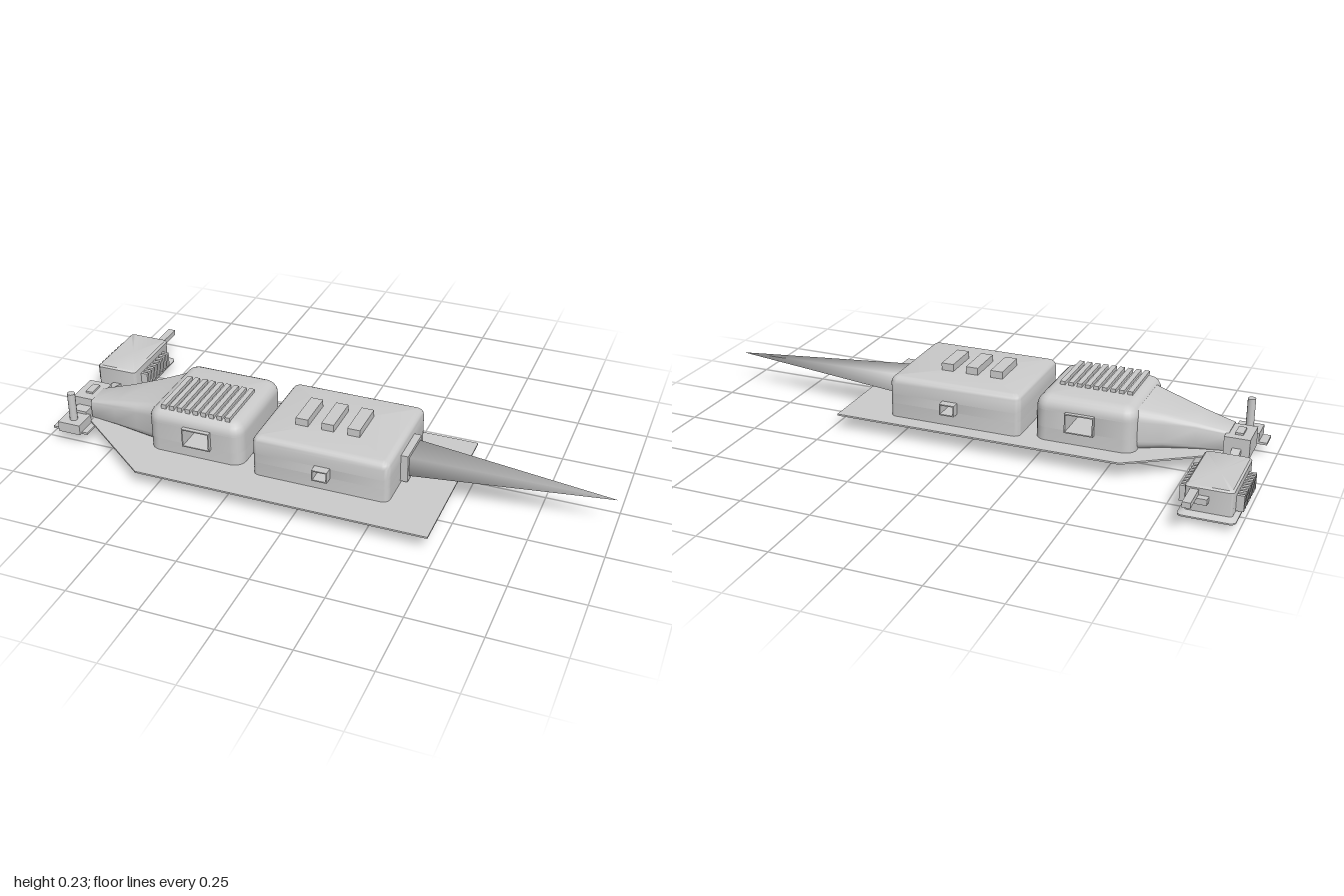
import * as THREE from 'three';
import { toCreasedNormals } from 'three/addons/utils/BufferGeometryUtils.js';

const grey = new THREE.MeshStandardMaterial({ color: 0xcccccc });
grey.name = 'light grey';

// Rounded rectangle outline with separate radii for its low-u and high-u corners.
function outline(u0, u1, v0, v1, rLow, rHigh = rLow) {
  const points = [];
  const corners = [[u0, v0, 1, 1, rLow, 2], [u1, v0, -1, 1, rHigh, 3], [u1, v1, -1, -1, rHigh, 0], [u0, v1, 1, -1, rLow, 1]];
  for (const [u, v, su, sv, r, quarter] of corners) {
    for (let i = 0; i <= 5; i++) {
      const a = (quarter + i / 5) * Math.PI / 2;
      points.push([u + su * r + Math.cos(a) * r, v + sv * r + Math.sin(a) * r]);
    }
  }
  return points;
}

const upward = (points, y) => points.map(([u, v]) => new THREE.Vector3(u, y, v));
const sideways = (points, x) => points.map(([u, v]) => new THREE.Vector3(x, v, u));

// Skin a list of equal-length rings and cap both ends.
function loft(rings, crease = 0.7) {
  const n = rings[0].length;
  const vertices = rings.flat();
  for (const ring of [rings[0], rings.at(-1)]) {
    vertices.push(ring.reduce((sum, p) => sum.add(p), new THREE.Vector3()).divideScalar(n));
  }
  const start = vertices.length - 2, end = start + 1, last = (rings.length - 1) * n;
  const index = [];
  for (let j = 0; j < n; j++) {
    const k = (j + 1) % n;
    for (let i = 0; i < last; i += n) index.push(i + j, i + n + j, i + k, i + k, i + n + j, i + n + k);
    index.push(start, j, k, end, last + k, last + j);
  }
  // Turn the faces outward
  let volume = 0;
  for (let i = 0; i < index.length; i += 3) {
    const [a, b, c] = [0, 1, 2].map(m => vertices[index[i + m]]);
    volume += a.dot(b.clone().cross(c));
  }
  if (volume < 0) index.reverse();
  const geometry = new THREE.BufferGeometry().setFromPoints(vertices);
  geometry.setIndex(index);
  return toCreasedNormals(geometry, crease);
}

export function createModel() {
  const model = new THREE.Group();
  model.name = 'model';

  function add(name, geometry, parent = model) {
    const mesh = new THREE.Mesh(geometry, grey);
    mesh.name = name;
    parent.add(mesh);
    return mesh;
  }
  function box(name, x0, x1, y0, y1, z0, z1, parent = model) {
    const mesh = add(name, new THREE.BoxGeometry(x1 - x0, y1 - y0, z1 - z0), parent);
    mesh.position.set((x0 + x1) / 2, (y0 + y1) / 2, (z0 + z1) / 2);
    return mesh;
  }
  function group(name) {
    const g = new THREE.Group();
    g.name = name;
    model.add(g);
    return g;
  }

  // Rounded housing with a rectangular passage running through it along z
  function housing(name, [x0, x1], [y0, y1], [z0, z1], r, hole, reach) {
    const g = group(name);
    const [hx0, hx1, hy0, hy1] = hole;
    const plan = outline(x0, x1, z0, z1, r);
    add('lowerShell', loft([upward(plan, y0), upward(plan, hy0)]), g);
    for (const side of [outline(x0, hx0, z0, z1, r, 0.0005), outline(hx1, x1, z0, z1, 0.0005, r)]) {
      add('middleShell', loft([upward(side, hy0), upward(side, hy1)]), g);
    }
    const rings = [upward(plan, hy1)];
    for (let i = 0; i <= 5; i++) {
      const a = i / 5 * Math.PI / 2, inset = r * (1 - Math.cos(a));
      const cut = outline(x0 + inset, x1 - inset, z0 + inset, z1 - inset, Math.max(r - inset * 0.7, 0.004));
      rings.push(upward(cut, y1 - r + r * Math.sin(a)));
    }
    add('upperShell', loft(rings), g);

    // Thin sleeve lining the passage
    const rect = (shape, d) => {
      shape.moveTo(hx0 + d, hy0 + d);
      shape.lineTo(hx1 - d, hy0 + d);
      shape.lineTo(hx1 - d, hy1 - d);
      shape.lineTo(hx0 + d, hy1 - d);
      shape.closePath();
      return shape;
    };
    const frame = rect(new THREE.Shape(), -0.003);
    frame.holes.push(rect(new THREE.Path(), 0.001));
    const sleeve = new THREE.ExtrudeGeometry(frame, { depth: z1 - z0 + 2 * reach, bevelEnabled: false });
    add('passageSleeve', sleeve.translate(0, 0, z0 - reach), g);
  }

  // Flat base plate with a pointed end
  const plate = new THREE.Shape([[-0.56, -0.15], [0.47, -0.15], [0.47, 0.43], [-0.56, 0.43], [-0.86, 0.2], [-0.86, 0.05]]
    .map(([x, z]) => new THREE.Vector2(x, -z)));
  add('basePlate', new THREE.ExtrudeGeometry(plate, { depth: 0.006, bevelEnabled: false })
    .rotateX(-Math.PI / 2).translate(0, 0.054, 0));

  // Two main housings and the link between them
  housing('mainHousing', [-0.187, 0.295], [0.058, 0.207], [-0.088, 0.302], 0.025, [0.042, 0.09, 0.11, 0.144], 0.03);
  housing('ribbedHousing', [-0.585, -0.235], [0.058, 0.217], [-0.073, 0.28], 0.042, [-0.445, -0.35, 0.107, 0.17], 0.015);
  box('housingLink', -0.24, -0.18, 0.06, 0.087, 0.09, 0.115);

  // Top louvres and ribs
  for (let i = 0; i < 3; i++) {
    const x = -0.055 + i * 0.092;
    box('louvre', x - 0.022, x + 0.022, 0.2, 0.233, 0.038, 0.178);
  }
  for (let i = 0; i < 9; i++) {
    const x = -0.53 + i * 0.0297;
    box('rib', x - 0.009, x + 0.009, 0.21, 0.229, 0.05, 0.255);
  }

  // Collar and long four-sided spike
  box('spikeCollar', 0.29, 0.32, 0.07, 0.17, 0.035, 0.178);
  const square = s => [[0.106 - 0.058 * s, 0.122 - 0.036 * s], [0.106 + 0.058 * s, 0.122 - 0.036 * s],
    [0.106 + 0.058 * s, 0.122 + 0.036 * s], [0.106 - 0.058 * s, 0.122 + 0.036 * s]];
  add('spike', loft([sideways(square(1), 0.315), sideways(square(0.005), 1)], 1.8));

  // Funnel from the ribbed housing to the joint
  const sections = [[-0.54, -0.06, 0.265, 0.212, 0.04], [-0.585, -0.035, 0.24, 0.197, 0.036],
    [-0.66, 0.005, 0.222, 0.178, 0.03], [-0.76, 0.045, 0.198, 0.153, 0.022], [-0.865, 0.075, 0.178, 0.128, 0.012]];
  add('funnel', loft(sections.map(([x, z0, z1, top, r]) => sideways(outline(z0, z1, 0.056, top, r), x)), 1));

  // Joint block with a front block and upright post
  box('jointBlock', -0.942, -0.855, 0.056, 0.125, 0.045, 0.165);
  box('jointCap', -0.912, -0.885, 0.12, 0.132, 0.075, 0.13);
  box('jointNeck', -0.925, -0.872, 0.055, 0.095, 0.16, 0.205);
  box('frontBlock', -0.942, -0.857, 0.047, 0.085, 0.2, 0.282);
  box('frontFoot', -0.97, -0.835, 0.046, 0.054, 0.2, 0.27);
  const post = add('post', new THREE.CylinderGeometry(0.014, 0.014, 0.145, 12));
  post.position.set(-0.899, 0.117, 0.245);

  // Sloping arm to the rear unit, with a pin beneath
  const armRing = (z, y0, y1) => [[-0.914, y0], [-0.884, y0], [-0.884, y1], [-0.914, y1]].map(([x, y]) => new THREE.Vector3(x, y, z));
  add('rearArm', loft([armRing(0.05, 0.052, 0.09), armRing(-0.1, 0.014, 0.05)], 0.3));
  const pin = add('armPin', new THREE.CylinderGeometry(0.018, 0.018, 0.02, 12));
  pin.position.set(-0.899, 0.0125, -0.085);
  pin.rotation.x = 0.25;

  // Rear unit: flared base, body, side fins and rear bars
  const unit = group('rearUnit');
  const base = outline(-0.99, -0.806, -0.36, -0.045, 0.02);
  const baseTop = outline(-0.975, -0.82, -0.34, -0.065, 0.015);
  add('unitBase', loft([upward(base, 0.022), upward(base, 0.027), upward(baseTop, 0.036)], 0.3), unit);
  const body = outline(-0.975, -0.822, -0.334, -0.068, 0.012);
  const lid = outline(-0.969, -0.828, -0.328, -0.074, 0.01);
  add('unitBody', loft([upward(body, 0.03), upward(body, 0.115), upward(lid, 0.121)]), unit);
  for (let i = 0; i < 8; i++) {
    const z = -0.12 - i * 0.0235;
    box('leftFin', -0.824, -0.797, 0.038, 0.092, z - 0.006, z + 0.006, unit);
    box('rightFin', -1, -0.973, 0.038, 0.092, z - 0.006, z + 0.006, unit);
  }
  box('rearBar', -0.867, -0.84, 0.091, 0.11, -0.432, -0.32, unit);
  box('rearStub', -0.9, -0.862, 0.072, 0.092, -0.358, -0.32, unit);

  return model;
}
